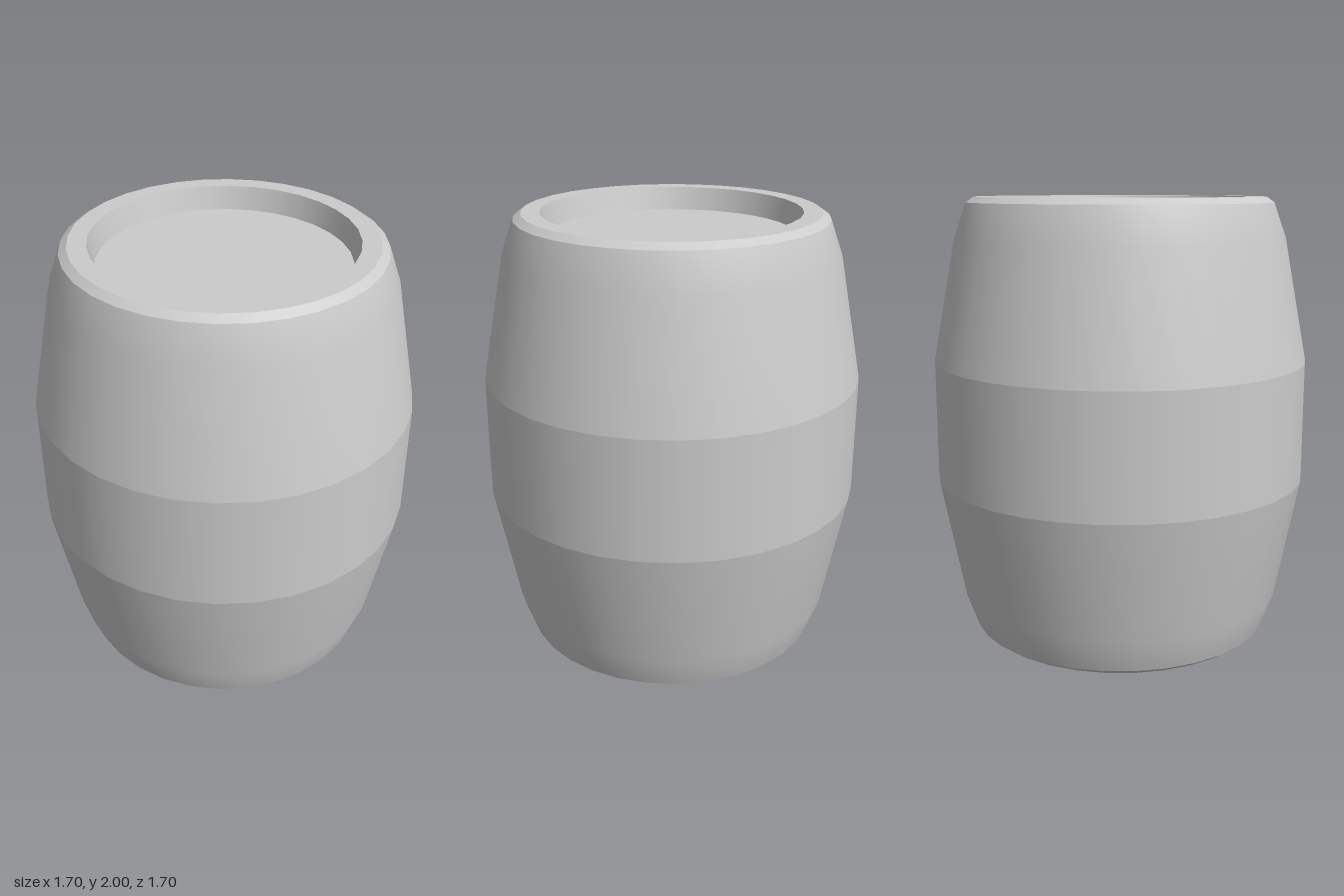
import * as THREE from 'three';

const SEGMENTS = 32;
const material = new THREE.MeshStandardMaterial({ color: 0xcccccc });

// Profiles of [radius, height], each smooth within itself with a sharp edge to the next
const HALF = [
  ['shoulder', [[0.85, 1.27], [0.745, 1.82], [0.69, 1.975]]],
  ['rimBevel', [[0.69, 1.975], [0.655, 2]]],
  ['rimTop', [[0.655, 2], [0.572, 2]]],
  ['recessWall', [[0.572, 2], [0.547, 1.897]]],
  ['lid', [[0.547, 1.897], [0, 1.897]]],
];

function turned(name, profile) {
  const points = profile.map(([r, y]) => new THREE.Vector2(r, y));
  const mesh = new THREE.Mesh(new THREE.LatheGeometry(points, SEGMENTS), material);
  mesh.name = name;
  return mesh;
}

export function createModel() {
  const barrel = new THREE.Group();
  barrel.name = 'barrel';

  // Straight belly band
  barrel.add(turned('bellyBand', [[0.85, 0.73], [0.85, 1.27]]));

  // Upper half, and the lower half mirrored about mid height
  const upper = new THREE.Group();
  const lower = new THREE.Group();
  upper.name = 'upperHalf';
  lower.name = 'lowerHalf';
  for (const [name, profile] of HALF) {
    upper.add(turned(name, profile));
    lower.add(turned(name, profile.map(([r, y]) => [r, 2 - y]).reverse()));
  }
  barrel.add(upper, lower);
  return barrel;
}
